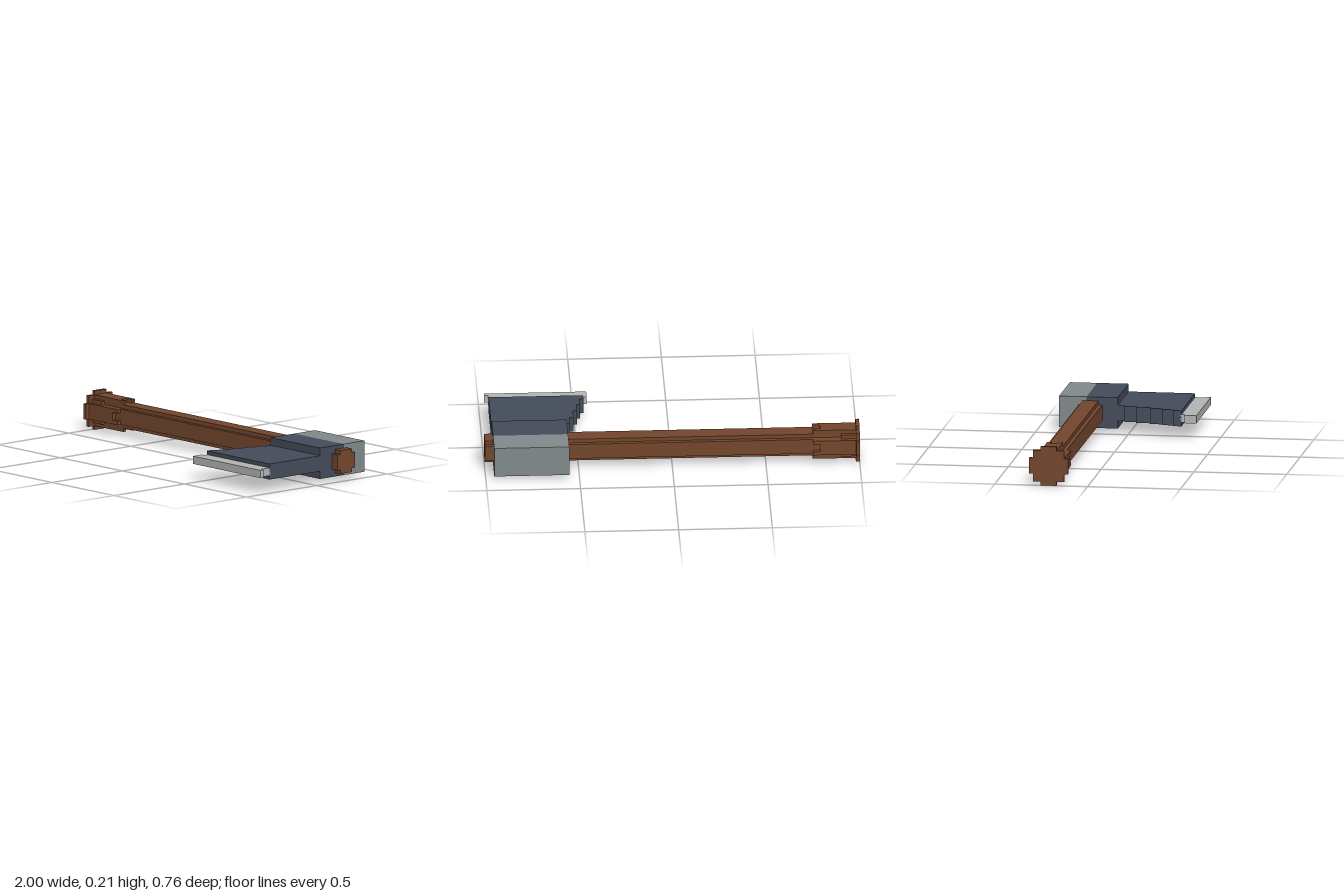
import * as THREE from 'three';

const CY = 0.106, CZ = -0.21; // handle axis
const U = 0.0211; // block size

const paint = (name, color) => {
  const m = new THREE.MeshStandardMaterial({ color });
  m.name = name;
  return m;
};

export function createModel() {
  const wood = paint('brown wood', 0x74462c);
  const iron = paint('dark iron', 0x444b5a);
  const steel = paint('grey steel', 0x828a8b);
  const bright = paint('bright steel', 0xb2b6b5);
  const model = new THREE.Group();
  model.name = 'axe';

  const add = (name, geometry, material, parent = model) => {
    const mesh = new THREE.Mesh(geometry, material);
    mesh.name = name;
    parent.add(mesh);
    return mesh;
  };

  // Box given by its limits on each axis
  const box = (name, mat, x0, x1, y0, y1, z0, z1, parent) =>
    add(name, new THREE.BoxGeometry(x1 - x0, y1 - y0, z1 - z0), mat, parent)
      .position.set((x0 + x1) / 2, (y0 + y1) / 2, (z0 + z1) / 2);

  // Stepped round bar along x; quarter corners are in block units
  const bar = (name, x0, x1, quarter) => {
    const pts = [];
    for (let k = 0; k < 4; k++) {
      for (const [a, b] of quarter) {
        pts.push(new THREE.Vector2(a * U, b * U).rotateAround(new THREE.Vector2(), k * Math.PI / 2));
      }
    }
    const g = new THREE.ExtrudeGeometry(new THREE.Shape(pts), { depth: x1 - x0, bevelEnabled: false });
    g.rotateY(Math.PI / 2);
    add(name, g, wood).position.set(x0, CY, CZ);
  };

  // Handle, grip end and end cap
  bar('handle', -0.79, 1, [[3, -2], [3, 2], [2, 2]]);
  bar('gripEnd', -0.98, -0.9, [[4, -2], [4, 2], [3, 2], [3, 3], [2, 3]]);
  bar('gripCollar', -0.9, -0.79, [[4, -2], [4, 2], [2, 2]]);
  bar('endCap', -1, -0.98, [[5, -2], [5, 2], [4, 2], [4, 4], [2, 4]]);

  // Paired fingers reaching from the collar along each side of the handle
  const fingers = new THREE.Group();
  fingers.name = 'gripFingers';
  fingers.position.set(0, CY, CZ);
  model.add(fingers);
  for (let k = 0; k < 4; k++) {
    const side = new THREE.Group();
    side.name = 'fingerPair';
    side.rotation.x = k * Math.PI / 2;
    fingers.add(side);
    for (const s of [-1, 1]) {
      box('finger', wood, -0.79, -0.75, 2.9 * U, 4 * U, s * 1.5 * U - U / 2, s * 1.5 * U + U / 2, side);
    }
  }

  // Head: poll and eye block
  box('poll', steel, 0.555, 0.955, 0.022, 0.19, -0.38, -0.232);
  box('headBlock', iron, 0.555, 0.955, 0.022, 0.19, -0.232, -0.063);

  // Blade with a stepped inner side
  const steps = [[-0.063, 0.555], [-0.025, 0.535], [0.04, 0.513], [0.12, 0.492], [0.19, 0.471], [0.25, 0.45]];
  const outline = new THREE.Shape();
  outline.moveTo(0.955, -0.063);
  steps.forEach(([z, x], i) => {
    outline.lineTo(x, z);
    outline.lineTo(x, i + 1 < steps.length ? steps[i + 1][0] : 0.295);
  });
  outline.lineTo(0.955, 0.295);
  const blade = new THREE.ExtrudeGeometry(outline, { depth: 4 * U, bevelEnabled: false });
  blade.rotateX(Math.PI / 2);
  add('blade', blade, iron).position.y = 0.148;

  // Cutting edge with its small outer lip
  const edge = new THREE.Shape([
    [0.45, 0.29], [0.955, 0.29], [0.955, 0.357], [0.976, 0.357],
    [0.976, 0.378], [0.43, 0.378], [0.43, 0.314], [0.45, 0.314],
  ].map(([x, z]) => new THREE.Vector2(x, z)));
  const edgeGeo = new THREE.ExtrudeGeometry(edge, { depth: 2 * U, bevelEnabled: false });
  edgeGeo.rotateX(Math.PI / 2);
  add('cuttingEdge', edgeGeo, bright).position.y = 0.127;

  return model;
}
